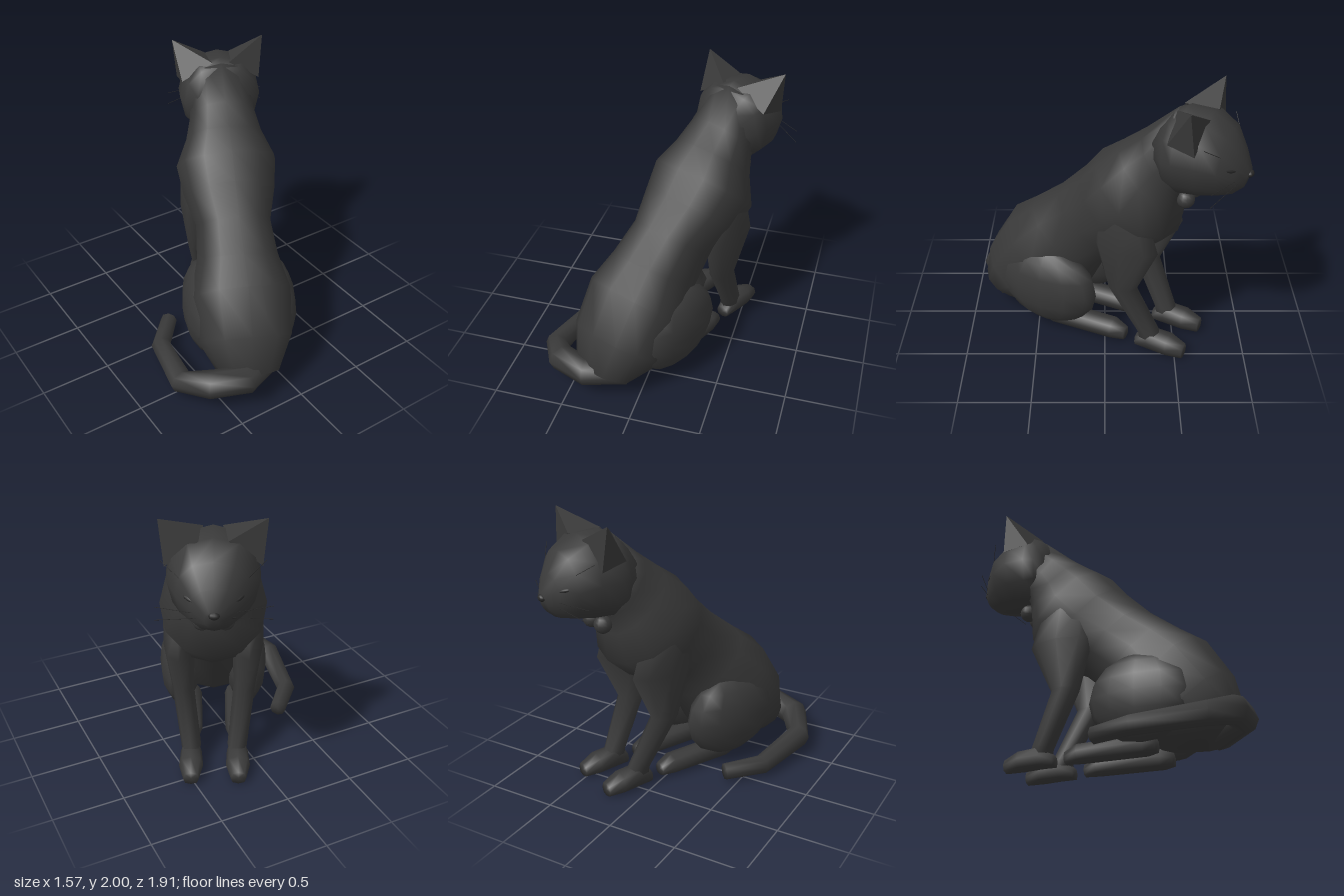
import * as THREE from 'three';

const fur = new THREE.MeshStandardMaterial({ color: 0x393939 });
fur.name = 'charcoal fur';
const dark = new THREE.MeshStandardMaterial({ color: 0x2a2a2a });
dark.name = 'dark detail';

// Cat-local point: x = cat's right, y = up, t = forward
const P = (x, y, t) => new THREE.Vector3(x, y, -t);

// Closed ring around a centre, spanned by two half-axes; power < 1 gives a boxier section
function ring(c, a, b, n = 10, power = 1) {
  const soft = (v) => Math.sign(v) * Math.pow(Math.abs(v), power);
  return Array.from({ length: n }, (_, i) => {
    const q = (i / n) * Math.PI * 2;
    return c.clone().addScaledVector(a, soft(Math.cos(q))).addScaledVector(b, soft(Math.sin(q)));
  });
}

// Skin a list of rings, capping both ends, always facing outward
function loft(rings) {
  const n = rings[0].length;
  const pts = rings.flat();
  const faces = [];
  for (let k = 0; k < rings.length - 1; k++) {
    for (let i = 0; i < n; i++) {
      const a = k * n + i, b = k * n + ((i + 1) % n);
      faces.push([a, b, b + n], [a, b + n, a + n]);
    }
  }
  [0, rings.length - 1].forEach((k, end) => {
    const mid = new THREE.Vector3();
    rings[k].forEach((p) => mid.addScaledVector(p, 1 / n));
    const m = pts.push(mid) - 1;
    for (let i = 0; i < n; i++) {
      const a = k * n + i, b = k * n + ((i + 1) % n);
      faces.push(end ? [a, b, m] : [b, a, m]);
    }
  });
  let volume = 0;
  for (const [a, b, c] of faces) volume += pts[a].dot(pts[b].clone().cross(pts[c]));
  if (volume < 0) faces.forEach((f) => f.reverse());
  const g = new THREE.BufferGeometry().setFromPoints(pts);
  g.setIndex(faces.flat());
  g.computeVertexNormals();
  return g;
}

function add(parent, name, geometry, material = fur) {
  const m = new THREE.Mesh(geometry, material);
  m.name = name;
  parent.add(m);
  return m;
}

// Sections given by a back point, a front point and a half width
const trunk = (rows) => loft(rows.map(([bt, by, ft, fy, w]) => {
  const back = P(0, by, bt), front = P(0, fy, ft);
  const c = back.clone().add(front).multiplyScalar(0.5);
  return ring(c, back.sub(c), new THREE.Vector3(w, 0, 0), 12, 0.9);
}));

// Limb with level sections: x, y, t, half width, half depth
const limb = (s, rows) => loft(rows.map(([x, y, t, rx, rt]) =>
  ring(P(s * x, y, t), new THREE.Vector3(rx, 0, 0), new THREE.Vector3(0, 0, rt), 8)));

// Foot with upright sections: x, y, t, half width, half height
const foot = (s, rows) => loft(rows.map(([x, y, t, rx, ry]) =>
  ring(P(s * x, y, t), new THREE.Vector3(rx, 0, 0), new THREE.Vector3(0, ry, 0), 8, 0.8)));

function whisker(parent, a, b) {
  add(parent, 'whisker', new THREE.TubeGeometry(new THREE.LineCurve3(a, b), 1, 0.002, 4), dark);
}

export function createModel() {
  const model = new THREE.Group();
  model.name = 'sittingCat';
  const cat = new THREE.Group();
  cat.name = 'catBody';
  cat.rotation.y = -THREE.MathUtils.degToRad(25);
  cat.position.set(0.066, 0, 0.031);
  model.add(cat);

  // Torso from neck to rump
  add(cat, 'torso', trunk([
    [0.56, 1.88, 0.72, 1.40, 0.22],
    [0.34, 1.69, 0.64, 1.30, 0.24],
    [0.18, 1.57, 0.62, 1.17, 0.28],
    [0.02, 1.46, 0.59, 0.95, 0.365],
    [-0.11, 1.30, 0.42, 0.80, 0.335],
    [-0.29, 1.12, 0.20, 0.70, 0.27],
    [-0.50, 0.96, 0.03, 0.55, 0.29],
    [-0.69, 0.83, -0.12, 0.25, 0.36],
    [-0.87, 0.54, -0.35, 0.09, 0.335],
    [-0.94, 0.26, -0.62, 0.07, 0.22],
  ]));

  // Head from nape to muzzle
  add(cat, 'head', trunk([
    [0.44, 1.75, 0.49, 1.42, 0.21],
    [0.54, 1.86, 0.55, 1.34, 0.27],
    [0.62, 1.90, 0.62, 1.31, 0.295],
    [0.79, 1.89, 0.76, 1.32, 0.29],
    [0.93, 1.80, 0.88, 1.34, 0.235],
    [1.01, 1.66, 0.97, 1.36, 0.15],
    [1.065, 1.54, 1.03, 1.41, 0.06],
  ]));
  const nose = add(cat, 'nose', new THREE.SphereGeometry(1, 8, 6), dark);
  nose.scale.set(0.035, 0.025, 0.025);
  nose.position.copy(P(0, 1.51, 1.06));

  for (const s of [1, -1]) {
    const side = s > 0 ? 'right' : 'left';

    // Broad pointed ear growing out of the nape and brow
    const base = [P(s * 0.09, 1.87, 0.80), P(s * 0.30, 1.70, 0.78),
      P(s * 0.28, 1.74, 0.59), P(s * 0.06, 1.88, 0.57)];
    const tip = P(s * 0.331, 2.0, 0.754);
    const ear = loft([base, base.map((p) => p.clone().lerp(tip, 0.99))]).toNonIndexed();
    ear.computeVertexNormals();
    add(cat, side + 'Ear', ear);

    // Narrow, nearly closed eye
    const eye = add(cat, side + 'Eye', new THREE.SphereGeometry(1, 8, 6), dark);
    eye.scale.set(0.045, 0.014, 0.012);
    eye.position.copy(P(s * 0.15, 1.58, 0.975));
    eye.rotation.set(0, -s * 0.7, s * 0.25);

    // Cheek and brow whiskers
    whisker(cat, P(s * 0.10, 1.50, 1.01), P(s * 0.36, 1.50, 0.92));
    whisker(cat, P(s * 0.10, 1.47, 1.01), P(s * 0.36, 1.41, 0.92));
    whisker(cat, P(s * 0.17, 1.66, 0.94), P(s * 0.317, 1.77, 0.844));

    // Round bell under the chin
    const bell = add(cat, side + 'Bell', new THREE.SphereGeometry(0.064, 12, 8));
    bell.position.copy(P(s * 0.075, 1.26, 0.66));

    // Front leg and paw
    add(cat, side + 'FrontLeg', limb(s, [
      [0.21, 1.30, 0.24, 0.10, 0.12],
      [0.24, 1.10, 0.27, 0.105, 0.20],
      [0.238, 0.88, 0.30, 0.108, 0.24],
      [0.22, 0.53, 0.27, 0.078, 0.11],
      [0.165, 0.15, 0.46, 0.07, 0.085],
      [0.165, 0.04, 0.47, 0.06, 0.08],
    ]));
    add(cat, side + 'FrontPaw', foot(s, [
      [0.165, 0.05, 0.37, 0.05, 0.045],
      [0.165, 0.085, 0.47, 0.075, 0.08],
      [0.165, 0.075, 0.62, 0.085, 0.073],
      [0.165, 0.05, 0.735, 0.055, 0.048],
    ]));

    // Folded thigh and long hind foot
    const thigh = add(cat, side + 'Thigh', new THREE.SphereGeometry(1, 12, 8));
    thigh.scale.set(0.16, 0.31, 0.38);
    thigh.position.copy(P(s * 0.25, 0.39, -0.30));
    add(cat, side + 'HindFoot', foot(s, [
      [0.17, 0.07, -0.37, 0.05, 0.05],
      [0.17, 0.08, -0.29, 0.08, 0.075],
      [0.165, 0.08, 0.18, 0.08, 0.07],
      [0.165, 0.06, 0.28, 0.05, 0.045],
    ]));
  }

  // Tail curling forward along the ground: x, y, z, radius
  const path = [
    [-0.12, 0.20, 0.72, 0.12], [-0.37, 0.22, 0.85, 0.10], [-0.58, 0.205, 0.75, 0.10],
    [-0.70, 0.135, 0.55, 0.085], [-0.605, 0.085, 0.10, 0.07], [-0.41, 0.08, -0.12, 0.06],
  ];
  const up = new THREE.Vector3(0, 1, 0);
  add(model, 'tail', loft(path.map(([x, y, z, r], i) => {
    const p = path[Math.max(i - 1, 0)], q = path[Math.min(i + 1, path.length - 1)];
    const across = new THREE.Vector3(p[2] - q[2], 0, q[0] - p[0]).normalize();
    return ring(new THREE.Vector3(x, y, z), up.clone().multiplyScalar(r), across.multiplyScalar(r), 8);
  })));

  return model;
}
